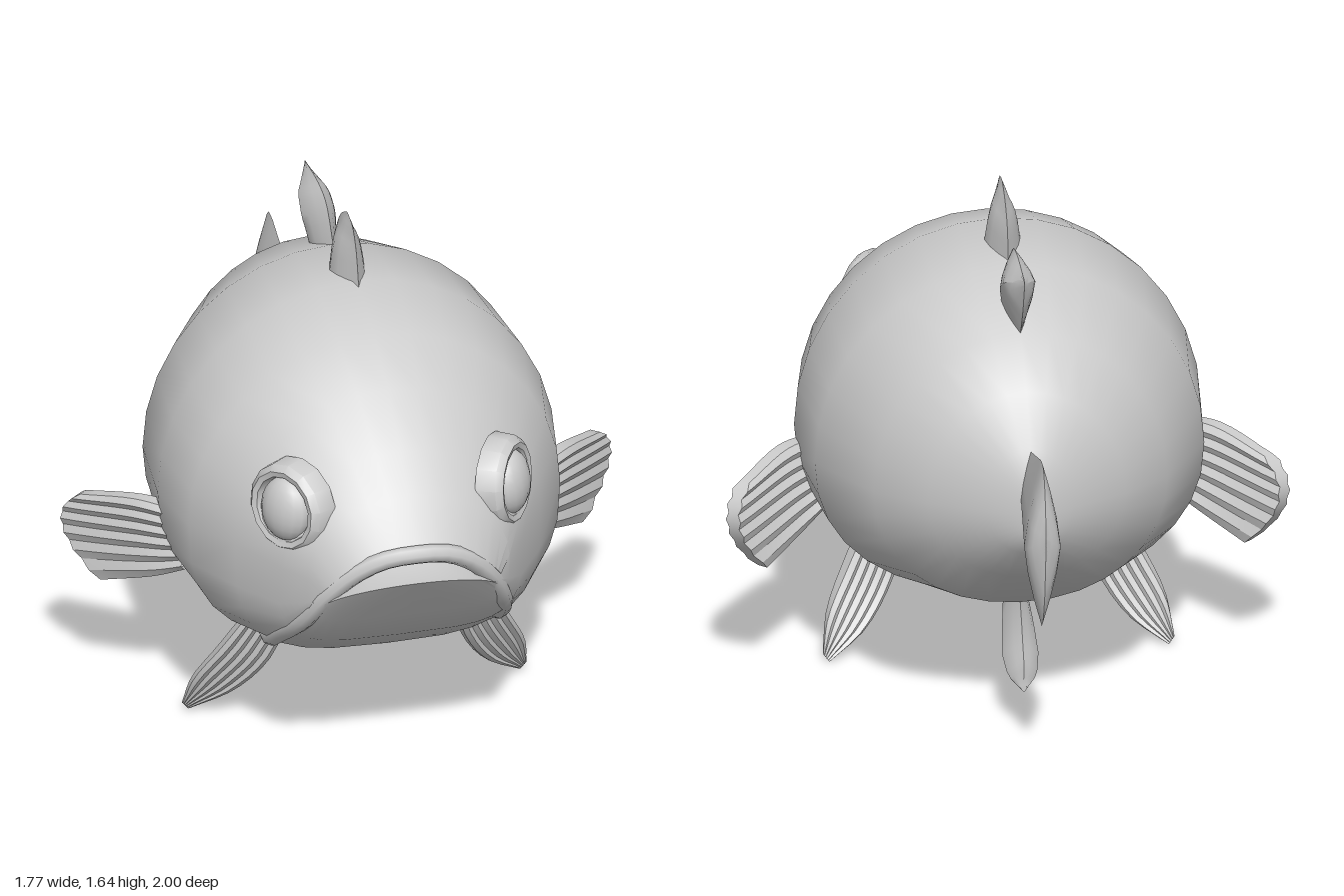
import * as THREE from 'three';
import { toCreasedNormals } from 'three/addons/utils/BufferGeometryUtils.js';

const skin = new THREE.MeshStandardMaterial({ color: 0xcccccc, side: THREE.DoubleSide });
const V = (p) => new THREE.Vector3(...p);
const curve = (pts) => new THREE.CatmullRomCurve3(pts.map(V), false, 'centripetal');

// Skin a list of closed rings of points
function loft(rings, crease) {
  const n = rings[0].length, index = [];
  for (let i = 0; i < rings.length - 1; i++) {
    for (let j = 0; j < n; j++) {
      const a = i * n + j, b = i * n + (j + 1) % n;
      index.push(a, b, a + n, b, b + n, a + n);
    }
  }
  const geo = new THREE.BufferGeometry();
  geo.setAttribute('position', new THREE.Float32BufferAttribute(rings.flat(2), 3));
  geo.setIndex(index);
  return toCreasedNormals(geo, crease);
}

function mesh(name, geo) {
  const m = new THREE.Mesh(geo, skin);
  m.name = name;
  return m;
}

// Body: sections along z, rounded above and squarer below towards the flat chin,
// ending in a recessed crescent mouth
function body() {
  const N = 32;
  const sections = [ // z, top, bottom, half width, height of widest point, lower roundness
    [-0.667, 0.925, 0.755, 0.04, 0.84, 1], [-0.625, 1.04, 0.69, 0.14, 0.84, 1],
    [-0.52, 1.19, 0.565, 0.31, 0.83, 1], [-0.37, 1.325, 0.41, 0.46, 0.81, 0.95],
    [-0.1, 1.435, 0.33, 0.61, 0.8, 0.9], [0.2, 1.465, 0.315, 0.637, 0.8, 0.88],
    [0.43, 1.395, 0.34, 0.595, 0.8, 0.75], [0.6, 1.29, 0.395, 0.49, 0.81, 0.62],
    [0.76, 1.155, 0.51, 0.39, 0.8, 0.48], [0.86, 1.05, 0.635, 0.325, 0.8, 0.42],
  ];
  const ring = (f) => Array.from({ length: N }, (_, j) => {
    const t = j / N * Math.PI * 2;
    return f(Math.cos(t), Math.sin(t));
  });
  const rings = sections.map(([z, top, bottom, w, mid, p]) => ring((c, s) => (s > 0
    ? [w * c, mid + s * (top - mid), z]
    : [w * Math.sign(c) * Math.abs(c) ** p, mid - (mid - bottom) * Math.abs(s) ** p, z])));
  rings.unshift(ring(() => [0, 0.84, -0.667]));
  const mouth = (k, dz) => ring((c, s) => [0.275 * k * c,
    0.71 + (s > 0 ? 0.18 : 0.105) * Math.abs(s),
    0.885 + (s > 0 ? 0.085 : 0.115) * Math.abs(s) - dz]);
  rings.push(mouth(1, 0), mouth(0.9, 0.14));
  rings.push(ring((c, s) => [0.22 * c, 0.71 + 0.13 * Math.abs(s), 0.72 + 0.1 * Math.abs(s)]));
  return loft(rings, 0.6);
}

// Fin between a leading and a trailing edge; thick = half thickness from root to tip
function fin(name, lead, trail, normal, thick, { ribs = 0, bulge = [0, 0, 0] } = {}) {
  const a = curve(lead), b = curve(trail), n = V(normal).normalize(), out = V(bulge);
  const U = 10, W = ribs ? ribs * 2 : 6, rings = [];
  for (let i = 0; i <= U; i++) {
    const u = i / U, p = a.getPoint(u), q = b.getPoint(u);
    const k = u * (thick.length - 1), k0 = Math.min(Math.floor(k), thick.length - 2);
    const t = THREE.MathUtils.lerp(thick[k0], thick[k0 + 1], k - k0);
    const side = (j, sign) => {
      const v = j / W;
      const h = ribs ? (j % W === 0 ? 0.6 : j % 2 ? 1 : 0.65) : 1 - Math.abs(2 * v - 1) ** 1.4;
      return p.clone().lerp(q, v).addScaledVector(out, u * u * 4 * v * (1 - v))
        .addScaledVector(n, sign * t * h).toArray();
    };
    const r = [];
    for (let j = 0; j <= W; j++) r.push(side(j, 1));
    for (let j = W; j >= 0; j--) r.push(side(j, -1));
    rings.push(r);
  }
  // Close the tip
  const last = rings[U], m = last.length;
  rings.push(last.map((p, j) => p.map((c, d) => (c + last[m - 1 - j][d]) / 2)));
  return mesh(name, loft(rings, 0.5));
}

// Fin on the centre line, edges given as [z, y]
const medianFin = (name, lead, trail, thick) => {
  const to3 = ([z, y]) => [0, y, z];
  return fin(name, lead.map(to3), trail.map(to3), [1, 0, 0], thick);
};

// Lip: tube along half a path, mirrored to the other side, ends sunk in the body
function lip(name, half, radius) {
  const other = half.slice(1).map(([x, y, z]) => [-x, y, z]).reverse();
  return mesh(name, new THREE.TubeGeometry(curve([...other, ...half]), 40, radius, 8));
}

// Eye: low socket rim with a flattened ball
function eye(s) {
  const g = new THREE.Group();
  g.name = s > 0 ? 'leftEye' : 'rightEye';
  const rim = mesh('eyeSocket', toCreasedNormals(new THREE.LatheGeometry(
    [[0.152, -0.06], [0.145, 0.005], [0.125, 0.025], [0.107, 0.02], [0.095, -0.015]]
      .map((p) => new THREE.Vector2(...p)), 14), 0.7));
  rim.rotation.x = Math.PI / 2;
  const ball = mesh('eyeball', new THREE.SphereGeometry(0.1, 16, 12));
  ball.scale.set(0.92, 1.06, 0.6);
  g.add(rim, ball);
  g.position.set(s * 0.358, 0.99, 0.735);
  g.lookAt(s * (0.358 + 0.82), 1.08, 0.735 + 0.56);
  return g;
}

export function createModel() {
  const fish = new THREE.Group();
  fish.name = 'fish';
  fish.add(mesh('body', body()));

  // Upper lip, running down the edges of the chin
  fish.add(lip('upperLip', [[0, 0.9, 0.968], [0.1, 0.885, 0.955], [0.19, 0.83, 0.925],
    [0.265, 0.74, 0.88], [0.315, 0.63, 0.805], [0.35, 0.52, 0.67], [0.36, 0.43, 0.52],
    [0.34, 0.45, 0.4]], 0.03));

  // Centre-line fins
  fish.add(medianFin('frontDorsalFin',
    [[0.235, 1.43], [0.195, 1.57], [0.15, 1.63], [0.1, 1.645]],
    [[-0.07, 1.41], [-0.045, 1.54], [0.01, 1.605], [0.08, 1.645]],
    [0.06, 0.045, 0.02, 0.006, 0]));
  fish.add(medianFin('rearDorsalFin',
    [[-0.08, 1.41], [-0.18, 1.53], [-0.27, 1.553], [-0.46, 1.545]],
    [[-0.36, 1.31], [-0.39, 1.36], [-0.43, 1.43], [-0.465, 1.52]], [0.04, 0.055, 0.05, 0]));
  fish.add(medianFin('tailFin',
    [[-0.58, 1.02], [-0.78, 1.085], [-0.92, 1.12], [-0.965, 1.06], [-1, 0.92]],
    [[-0.6, 0.78], [-0.75, 0.665], [-0.89, 0.56], [-0.955, 0.66], [-1, 0.89]],
    [0.03, 0.045, 0.057, 0.05, 0]));
  fish.add(medianFin('analFin',
    [[-0.1, 0.36], [-0.22, 0.25], [-0.3, 0.175], [-0.38, 0.135], [-0.455, 0.14]],
    [[-0.34, 0.44], [-0.39, 0.36], [-0.425, 0.29], [-0.455, 0.23], [-0.455, 0.17]],
    [0.035, 0.05, 0.057, 0.045, 0.01]));

  // Paired eyes and ribbed fins
  for (const s of [1, -1]) {
    const flip = (pts) => pts.map(([x, y, z]) => [s * x, y, z]);
    const side = s > 0 ? 'left' : 'right';
    fish.add(eye(s));
    fish.add(fin(side + 'PectoralFin',
      flip([[0.57, 0.75, 0.22], [0.68, 0.755, 0.13], [0.82, 0.71, -0.02]]),
      flip([[0.54, 0.53, 0.21], [0.62, 0.48, 0.14], [0.76, 0.41, 0.0]]),
      [s * 0.75, 0, 0.66], [0.038, 0.034, 0.028], { ribs: 6, bulge: [s * 0.07, 0.02, -0.07] }));
    fish.add(fin(side + 'PelvicFin',
      flip([[0.38, 0.43, 0.35], [0.46, 0.28, 0.29], [0.53, 0.14, 0.22], [0.55, 0.03, 0.17]]),
      flip([[0.26, 0.4, 0.37], [0.32, 0.22, 0.31], [0.41, 0.09, 0.235], [0.53, 0.005, 0.165]]),
      [0, 0.4, 1], [0.05, 0.048, 0.035, 0.012], { ribs: 5 }));
  }
  return fish;
}
